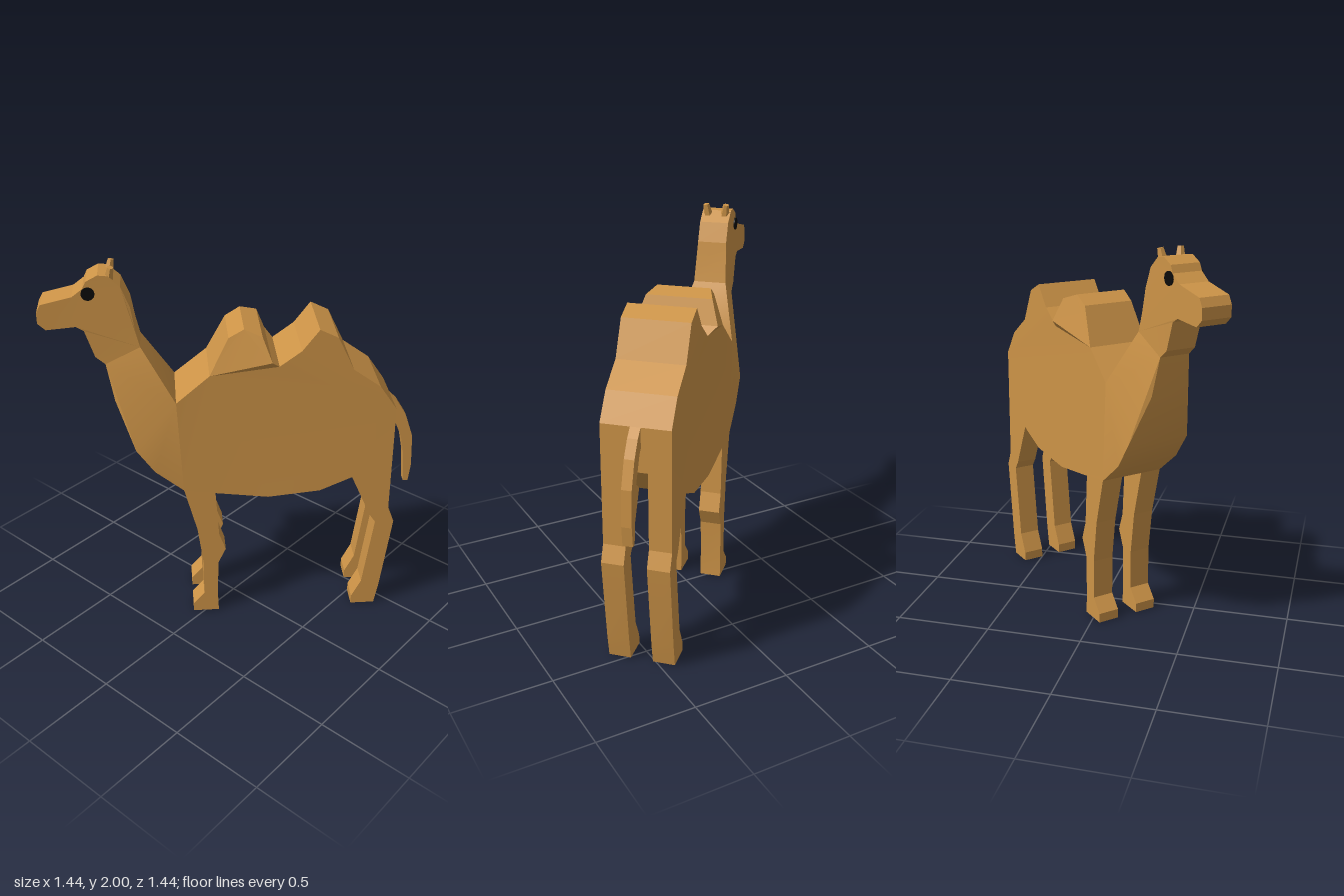
import * as THREE from 'three';
import { toCreasedNormals } from 'three/addons/utils/BufferGeometryUtils.js';

const coat = new THREE.MeshStandardMaterial({ color: 0xcc9347 });
coat.name = 'tan coat';
const dark = new THREE.MeshStandardMaterial({ color: 0x0a0a0a });
dark.name = 'black eye';

const W = 0.17; // half width of the torso

// Extrudes a side profile of [length, height, halfWidth] points;
// each point spreads to its own half width, or all to a fixed z range.
function slab(name, points, range, crease = 0.1) {
  const shape = new THREE.Shape(points.map(p => new THREE.Vector2(p[0], p[1])));
  const geo = new THREE.ExtrudeGeometry(shape, { depth: 1, bevelEnabled: false });
  const pos = geo.attributes.position;
  for (let i = 0; i < pos.count; i++) {
    const near = points.reduce((a, b) =>
      Math.hypot(a[0] - pos.getX(i), a[1] - pos.getY(i)) <=
      Math.hypot(b[0] - pos.getX(i), b[1] - pos.getY(i)) ? a : b);
    const w = near[2] ?? W;
    const [z0, z1] = range ?? [-w, w];
    pos.setZ(i, pos.getZ(i) > 0.5 ? z1 : z0);
  }
  geo.computeVertexNormals();
  const mesh = new THREE.Mesh(toCreasedNormals(geo, crease), coat);
  mesh.name = name;
  return mesh;
}

export function createModel() {
  const model = new THREE.Group();
  model.name = 'camel';

  // Torso with two humps
  model.add(slab('torso', [
    [-0.297, 1.325], [-0.27, 0.81], [-0.107, 0.785], [0.17, 0.748], [0.44, 0.775],
    [0.608, 0.85], [0.812, 1.03], [0.81, 1.25], [0.72, 1.38], [0.58, 1.48],
    [0.495, 1.655], [0.403, 1.7], [0.32, 1.59], [0.212, 1.51],
    [0.173, 1.55, 0.21], [0.127, 1.67, 0.17], [0.04, 1.7, 0.138],
    [-0.035, 1.655, 0.135], [-0.13, 1.465, 0.16],
  ]));

  // Neck narrowing from the chest to the head
  model.add(slab('neck', [
    [-0.297, 1.325], [-0.46, 1.6, 0.088], [-0.633, 1.51, 0.08], [-0.597, 1.316, 0.1],
    [-0.505, 1.06], [-0.415, 0.93], [-0.27, 0.81],
  ], null, 0.5));

  // Head with muzzle and throat
  model.add(slab('head', [
    [-0.46, 1.6, 0.088], [-0.48, 1.69, 0.083], [-0.5, 1.81, 0.078], [-0.54, 1.91, 0.078],
    [-0.6, 1.965, 0.078], [-0.643, 1.97, 0.078], [-0.7, 1.94, 0.078], [-0.717, 1.905, 0.078],
    [-0.77, 1.865, 0.078], [-0.92, 1.83, 0.078], [-0.942, 1.79, 0.078], [-0.942, 1.735, 0.078],
    [-0.905, 1.7, 0.078], [-0.762, 1.712, 0.078], [-0.725, 1.69, 0.078],
    [-0.68, 1.55, 0.078], [-0.633, 1.51, 0.08],
  ]));

  // Tail
  model.add(slab('tail', [
    [0.79, 1.25], [0.79, 1.17], [0.83, 1.13], [0.885, 1.0], [0.905, 0.9], [0.92, 0.72],
    [0.945, 0.72], [0.955, 0.82], [0.945, 1.0], [0.9, 1.13], [0.85, 1.21], [0.81, 1.25],
  ], [-0.025, 0.025]));

  const frontLeg = [
    [-0.27, 0.81], [-0.205, 0.557], [-0.175, 0.33], [-0.175, 0.12], [-0.235, 0.05],
    [-0.235, 0], [-0.095, 0], [-0.1, 0.12], [-0.095, 0.33], [-0.055, 0.42],
    [-0.09, 0.52], [-0.107, 0.785],
  ];
  const hindLeg = [
    [0.608, 0.85], [0.717, 0.605], [0.75, 0.557], [0.7, 0.155], [0.65, 0.05],
    [0.65, 0], [0.78, 0], [0.8, 0.12], [0.85, 0.557], [0.815, 0.64], [0.812, 1.03],
  ];

  for (const side of [-1, 1]) {
    const name = side > 0 ? 'left' : 'right';
    // Legs
    const range = side > 0 ? [0.057, W] : [-W, -0.057];
    model.add(slab(name + 'FrontLeg', frontLeg, range));
    model.add(slab(name + 'HindLeg', hindLeg, range));

    // Ears
    const ear = new THREE.Mesh(
      toCreasedNormals(new THREE.CylinderGeometry(0.016, 0.027, 0.07, 6), 0.1), coat);
    ear.name = name + 'Ear';
    ear.position.set(-0.588, 1.966, side * 0.05);
    ear.rotation.set(side * 0.15, 0, -0.2);
    model.add(ear);

    // Eyes
    const eye = new THREE.Mesh(new THREE.CylinderGeometry(0.033, 0.033, 0.008, 12), dark);
    eye.name = name + 'Eye';
    eye.position.set(-0.693, 1.88, side * 0.081);
    eye.rotation.x = Math.PI / 2;
    model.add(eye);
  }

  // The whole animal stands diagonally
  model.rotation.y = Math.PI / 4;
  const root = new THREE.Group();
  root.add(model);
  return root;
}
